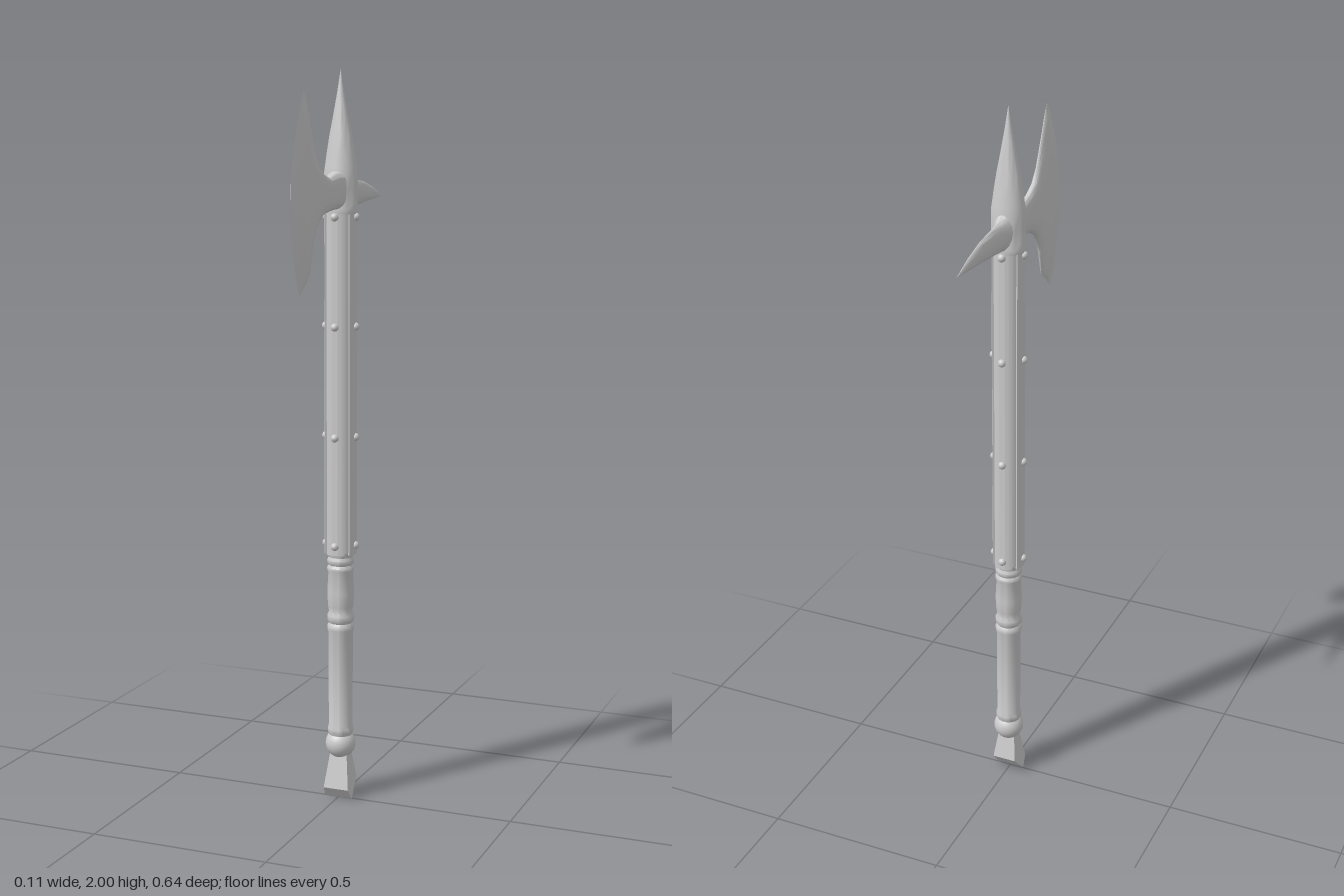
import * as THREE from 'three';
import { toCreasedNormals } from 'three/addons/utils/BufferGeometryUtils.js';

const AXIS_Z = -0.012; // the shaft sits slightly behind the centre
const material = new THREE.MeshStandardMaterial({ color: 0xcccccc });

function add(parent, name, geometry, x = 0, y = 0, z = 0) {
  const mesh = new THREE.Mesh(geometry, material);
  mesh.name = name;
  mesh.position.set(x, y, z);
  parent.add(mesh);
  return mesh;
}

// Skin through closed rings, counter-clockwise seen from the direction of travel
function loft(sections, sides, pointAt, crease = 0.7) {
  const positions = [], index = [], last = sections.length - 1;
  for (const s of sections) {
    for (let j = 0; j < sides; j++) positions.push(...pointAt(s, (j / sides) * Math.PI * 2));
  }
  for (let i = 0; i < last; i++) {
    for (let j = 0; j < sides; j++) {
      const k = (j + 1) % sides;
      const a = i * sides + j, b = i * sides + k;
      index.push(a, b, b + sides, a, b + sides, a + sides);
    }
  }
  for (let j = 1; j < sides - 1; j++) {
    index.push(0, j + 1, j);
    index.push(last * sides, last * sides + j, last * sides + j + 1);
  }
  const g = new THREE.BufferGeometry();
  g.setAttribute('position', new THREE.Float32BufferAttribute(positions, 3));
  g.setIndex(index);
  return toCreasedNormals(g, crease);
}

function lathe(points, sides = 32) {
  const g = new THREE.LatheGeometry(points.map(([r, y]) => new THREE.Vector2(r, y)), sides);
  return toCreasedNormals(g, 0.7);
}

function createHandle(parent) {
  // Turned grip with grooves, collar rings and a ball at the bottom
  add(parent, 'grip', lathe([
    [0, 0.18], [0.032, 0.18], [0.036, 0.19], [0.036, 0.2], [0.033, 0.21], [0.034, 0.475],
    [0.037, 0.485], [0.037, 0.495], [0.032, 0.503], [0.037, 0.511], [0.037, 0.525],
    [0.032, 0.535], [0.035, 0.55], [0.037, 0.59], [0.034, 0.645], [0.037, 0.653],
    [0.037, 0.66], [0.032, 0.667], [0.037, 0.674], [0.037, 0.682], [0.033, 0.69],
    [0.038, 0.7], [0.038, 0.72], [0, 0.72]]));
  add(parent, 'ball', new THREE.SphereGeometry(0.042, 28, 18), 0, 0.155, 0);

  // Flared, chisel-ended pommel
  const side = new THREE.Shape([
    [0.015, 0], [0.037, 0.03], [0.017, 0.13], [-0.017, 0.13], [-0.034, 0.052]
  ].map(([z, y]) => new THREE.Vector2(z, y)));
  const pommel = new THREE.ExtrudeGeometry(side, { depth: 2, bevelEnabled: false });
  pommel.translate(0, 0, -1).rotateY(-Math.PI / 2);
  const p = pommel.attributes.position;
  for (let i = 0; i < p.count; i++) p.setX(i, p.getX(i) * (0.04 - 0.12 * p.getY(i)));
  pommel.computeVertexNormals();
  add(parent, 'pommel', pommel);
}

function createShaft(parent) {
  add(parent, 'shaftCore', new THREE.CylinderGeometry(0.039, 0.039, 0.93, 32), 0, 1.17, 0);

  // Four curved metal straps with gaps between them, each held by rivets
  const strap = new THREE.Shape();
  strap.absarc(0, 0, 0.044, -0.62, 0.62, false);
  strap.absarc(0, 0, 0.036, 0.62, -0.62, true);
  const strapGeometry = toCreasedNormals(new THREE.ExtrudeGeometry(strap, {
    depth: 0.935, bevelEnabled: false, curveSegments: 8
  }).rotateX(-Math.PI / 2), 0.6);
  const rivetGeometry = new THREE.SphereGeometry(0.011, 12, 8);
  for (let k = 0; k < 4; k++) {
    const a = (k * Math.PI) / 2;
    add(parent, 'strap', strapGeometry, 0, 0.7, 0).rotation.y = a;
    for (const y of [0.725, 1.025, 1.325, 1.617]) {
      add(parent, 'rivet', rivetGeometry, Math.cos(a) * 0.043, y, -Math.sin(a) * 0.043);
    }
  }
}

function createHead(parent) {
  // Socket rising into the top spike: [y, half width in x, half width in z]
  const spike = [
    [1.625, 0.046, 0.044], [1.638, 0.048, 0.045], [1.65, 0.045, 0.042], [1.69, 0.046, 0.041],
    [1.73, 0.046, 0.039], [1.75, 0.043, 0.036], [1.78, 0.039, 0.032], [1.83, 0.031, 0.025],
    [1.88, 0.021, 0.018], [1.94, 0.01, 0.009], [2, 0.0005, 0.0005]
  ];
  add(parent, 'topSpike', loft(spike, 24, ([y, rx, rz], a) =>
    [Math.sin(a) * rx, y, Math.cos(a) * rz]));

  // Axe blade: [bottom z, bottom y, top z, top y, forward bulge, half thickness]
  const blade = [
    [0, 1.637, 0, 1.74, 0, 0.035], [0.042, 1.637, 0.042, 1.735, 0, 0.022],
    [0.075, 1.634, 0.075, 1.722, 0, 0.015], [0.115, 1.628, 0.115, 1.733, 0, 0.014],
    [0.156, 1.606, 0.15, 1.755, 0.01, 0.014], [0.188, 1.553, 0.172, 1.79, 0.022, 0.013],
    [0.204, 1.479, 0.204, 1.87, 0.045, 0.013], [0.235, 1.452, 0.222, 1.918, 0.058, 0.012],
    [0.267, 1.426, 0.235, 1.945, 0.07, 0.0008]
  ];
  add(parent, 'axeBlade', loft(blade, 36, ([zb, yb, zt, yt, bulge, h], a) => {
    const v = Math.sin(a), t = (v + 1) / 2;
    return [
      h * Math.cos(a) * Math.sqrt(1 + v * v),
      yb + (yt - yb) * t,
      zb + (zt - zb) * t + bulge * (1 - v * v) - AXIS_Z
    ];
  }));

  // Rear spike: [z, bottom y, top y, half width]
  const beak = [
    [-0.02, 1.635, 1.745, 0.035], [-0.055, 1.635, 1.728, 0.024], [-0.075, 1.637, 1.716, 0.014],
    [-0.12, 1.642, 1.711, 0.0115], [-0.18, 1.648, 1.704, 0.009], [-0.25, 1.654, 1.686, 0.006],
    [-0.317, 1.659, 1.661, 0.0006]
  ];
  add(parent, 'rearSpike', loft(beak, 16, ([z, yb, yt, h], a) =>
    [-Math.cos(a) * h, (yb + yt) / 2 + Math.sin(a) * (yt - yb) / 2, z - AXIS_Z]));
}

export function createModel() {
  const model = new THREE.Group();
  model.name = 'battleAxe';
  const parts = { handle: createHandle, shaft: createShaft, head: createHead };
  for (const [name, build] of Object.entries(parts)) {
    const group = new THREE.Group();
    group.name = name;
    group.position.z = AXIS_Z;
    build(group);
    model.add(group);
  }
  return model;
}
